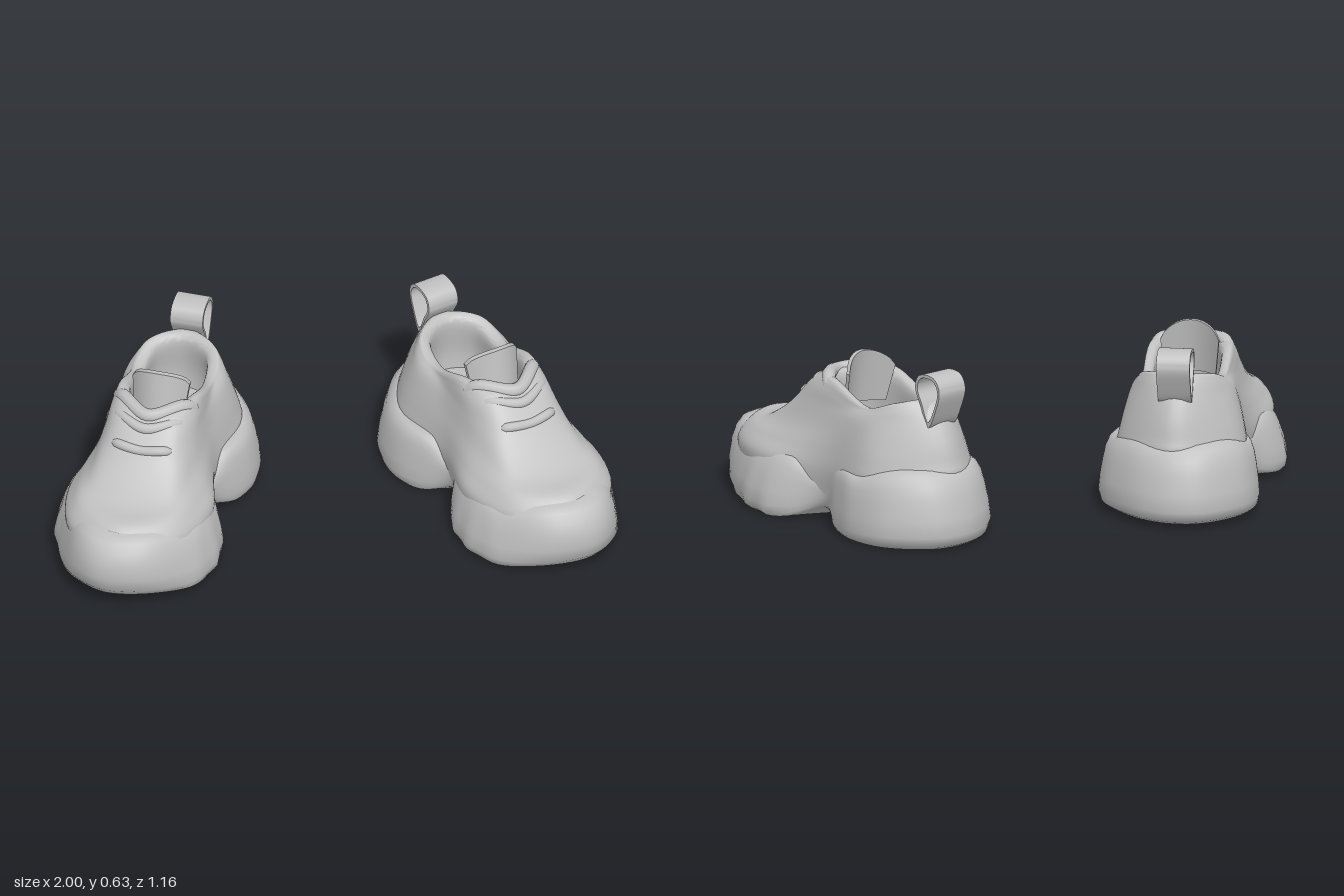
import * as THREE from 'three';
import { toCreasedNormals } from 'three/addons/utils/BufferGeometryUtils.js';

const V = (x, y, z) => new THREE.Vector3(x, y, z);
const bell = (s, c, r) => Math.exp(-(((s - c) / r) ** 2));
const step = THREE.MathUtils.smoothstep;

// Skin a stack of closed rings and cap both ends
function loft(rings, crease) {
  const n = rings[0].length, pos = [], idx = [];
  rings.forEach(r => r.forEach(p => pos.push(p.x, p.y, p.z)));
  for (let i = 0; i < rings.length - 1; i++) {
    for (let j = 0; j < n; j++) {
      const k = (j + 1) % n, a = i * n + j, b = i * n + k;
      idx.push(a, b, b + n, a, b + n, a + n);
    }
  }
  [0, rings.length - 1].forEach(i => {
    const c = rings[i].reduce((s, p) => s.add(p), V(0, 0, 0)).divideScalar(n);
    const ci = pos.length / 3;
    pos.push(c.x, c.y, c.z);
    for (let j = 0; j < n; j++) {
      const a = i * n + j, b = i * n + (j + 1) % n;
      if (i) idx.push(ci, a, b); else idx.push(ci, b, a);
    }
  });
  const g = new THREE.BufferGeometry();
  g.setAttribute('position', new THREE.Float32BufferAttribute(pos, 3));
  g.setIndex(idx);
  g.computeVertexNormals();
  return toCreasedNormals(g, crease);
}

// Sole footprint as [x, z]: toe, outer side, heel, inner side
const FOOTPRINT = [
  [0.04, 0.605], [0.165, 0.535], [0.26, 0.38], [0.315, 0.22], [0.30, 0.11], [0.245, 0.03],
  [0.215, -0.04], [0.245, -0.15], [0.28, -0.28], [0.255, -0.44], [0.12, -0.58], [0, -0.60],
  [-0.11, -0.56], [-0.21, -0.47], [-0.275, -0.37], [-0.30, -0.23], [-0.262, -0.09],
  [-0.22, 0.01], [-0.265, 0.10], [-0.305, 0.25], [-0.27, 0.42], [-0.13, 0.565],
];

function soleGeometry(side) {
  const outline = new THREE.CatmullRomCurve3(FOOTPRINT.map(([x, z]) => V(x * side, 0, z)), true)
    .getSpacedPoints(120).slice(0, 120);
  if (side < 0) outline.reverse();
  // [height fraction, footprint scale]
  const levels = [[0, 0.45], [0, 0.94], [0.05, 0.98], [0.18, 1], [0.4, 0.985], [0.65, 0.955], [0.83, 0.925], [0.95, 0.885], [1.01, 0.83], [1.03, 0.72]];
  const rings = levels.map(([t, k]) => outline.map(p => {
    const s = p.z, waist = bell(s, -0.01, 0.075), low = Math.max(0, 1 - t);
    const toe = step(s, 0.42, 0.6);
    const bottom = 0.045 * waist * bell(k, 1, 0.5) + 0.022 * toe * step(k, 0.5, 0.95);
    const top = 0.225 - 0.075 * waist + 0.03 * toe + 0.045 * step(-s, 0.3, 0.55);
    // shallow scallops round the forefoot, a pinched arch, sloping sides and a bulging toe
    const scallop = 0.018 * Math.sin(s * 48) * bell(s, 0.24, 0.16) * low;
    const pinch = 1 - 0.18 * waist * low;
    const slope = 1 - 0.11 * t * t * bell(s, 0.22, 0.2);
    const bulge = 0.035 * toe * Math.min(1, t * 1.8) - 0.02 * toe * low ** 4;
    return V(p.x * (k + scallop) * pinch * slope, bottom + t * (top - bottom), s * k + bulge);
  }));
  return loft(rings, 0.75);
}

// Upper: half rings from toe to heel, each point [x, y, z]
const UPPER = [
  [[0, .20, .55], [.19, .20, .46], [.262, .20, .22], [.205, .19, -.03], [.22, .22, -.33], [0, .25, -.53]],
  [[0, .27, .51], [.175, .265, .41], [.228, .26, .20], [.197, .27, -.04], [.208, .28, -.33], [0, .29, -.52]],
  [[0, .29, .40], [.145, .30, .34], [.187, .325, .17], [.18, .35, -.06], [.19, .36, -.31], [0, .36, -.50]],
  [[0, .37, .27], [.12, .375, .24], [.163, .405, .12], [.167, .41, -.10], [.172, .42, -.30], [0, .44, -.46]],
  [[0, .475, .165], [.105, .48, .14], [.153, .48, .04], [.155, .44, -.16], [.145, .465, -.32], [0, .49, -.42]],
  [[0, .505, .115], [.09, .51, .09], [.14, .51, -.02], [.142, .452, -.20], [.12, .492, -.33], [0, .507, -.395]],
  [[0, .49, .08], [.07, .495, .06], [.112, .495, -.03], [.115, .44, -.20], [.09, .472, -.32], [0, .492, -.365]],
];

function upperGeometry() {
  const below = UPPER[0].map(([x, , z]) => [x * 0.92, 0.08, z * 0.9]);
  const rim = UPPER[UPPER.length - 1];
  const lining = rim.map(([x, , z]) => [x * 1.05, 0.33, z * 1.03]);
  const insole = rim.map(([x, , z]) => [x * 0.95, 0.2, z]);
  const stack = [below, ...UPPER, lining, insole];
  const loops = stack.map(half => {
    const pts = half.map(p => V(...p));
    const other = half.slice(1, -1).reverse().map(([x, y, z]) => V(-x, y, z));
    const c = new THREE.CatmullRomCurve3([...pts, ...other], true);
    return Array.from({ length: 80 }, (_, j) => c.getPoint(j / 80));
  });
  // smooth every column from the sole over the collar to the insole
  const columns = loops[0].map((_, j) =>
    new THREE.CatmullRomCurve3(loops.map(l => l[j]), false, 'centripetal'));
  const rows = 54;
  return loft(Array.from({ length: rows + 1 }, (_, i) => columns.map(c => c.getPoint(i / rows))), 1.1);
}

// Tongue: a bowed plate with a rounded top
function tongueGeometry() {
  const g = new THREE.BoxGeometry(0.21, 1, 0.018, 16, 8, 1);
  const p = g.attributes.position;
  for (let i = 0; i < p.count; i++) {
    const x = p.getX(i), v = p.getY(i) + 0.5, t = x / 0.105;
    const height = 0.12 + 0.078 * Math.sqrt(Math.max(0, 1 - t * t * 0.95));
    p.setXYZ(i, x * (0.85 + 0.15 * v), 0.395 + v * height, p.getZ(i) + 0.03 - 0.035 * v - 0.05 * t * t);
  }
  g.computeVertexNormals();
  return g;
}

// Pull loop: a thin teardrop band
function loopGeometry() {
  const drop = [[-0.445, 0.415], [-0.49, 0.49], [-0.51, 0.56], [-0.485, 0.602], [-0.435, 0.61], [-0.39, 0.595], [-0.375, 0.55], [-0.405, 0.49]];
  const trace = k => new THREE.CatmullRomCurve3(
    drop.map(([z, y]) => V(-(-0.445 + (z + 0.445) * k), 0.54 + (y - 0.54) * k, 0)), true)
    .getPoints(40).slice(0, 40).map(p => new THREE.Vector2(p.x, p.y));
  const shape = new THREE.Shape(trace(1));
  shape.holes.push(new THREE.Path(trace(0.83)));
  const g = new THREE.ExtrudeGeometry(shape, { depth: 0.12, bevelEnabled: false });
  g.translate(0, 0, -0.06);
  g.rotateY(Math.PI / 2);
  return toCreasedNormals(g, 0.8);
}

// Laces: [half width, middle y, middle z, end y, end z, radius]
const LACES = [
  [0.135, 0.495, 0.125, 0.505, 0.03, 0.025],
  [0.13, 0.465, 0.165, 0.475, 0.095, 0.02],
  [0.11, 0.408, 0.22, 0.412, 0.185, 0.018],
];

function laceGeometry([w, my, mz, ey, ez, r]) {
  const c = new THREE.CatmullRomCurve3([
    V(-w, ey - 0.025, ez - 0.02), V(-w * 0.8, ey, ez + 0.02), V(0, my, mz),
    V(w * 0.8, ey, ez + 0.02), V(w, ey - 0.025, ez - 0.02),
  ]);
  return new THREE.TubeGeometry(c, 28, r, 10);
}

export function createModel() {
  const grey = new THREE.MeshStandardMaterial({ color: 0xc0c0c0 });
  grey.name = 'light grey';
  const model = new THREE.Group();
  model.name = 'pairOfShoes';

  [1, -1].forEach(side => {
    const shoe = new THREE.Group();
    shoe.name = side > 0 ? 'leftShoe' : 'rightShoe';
    const add = (name, geometry) => {
      const m = new THREE.Mesh(geometry, grey);
      m.name = name;
      shoe.add(m);
    };
    add('sole', soleGeometry(side));
    add('upper', upperGeometry());
    add('tongue', tongueGeometry());
    add('pullLoop', loopGeometry());
    LACES.forEach((l, i) => add('lace' + (i + 1), laceGeometry(l)));
    // toes turned outward
    shoe.rotation.y = side * 0.41;
    shoe.position.set(side > 0 ? 0.608 : -0.612, side > 0 ? 0 : 0.015, 0);
    model.add(shoe);
  });
  return model;
}
